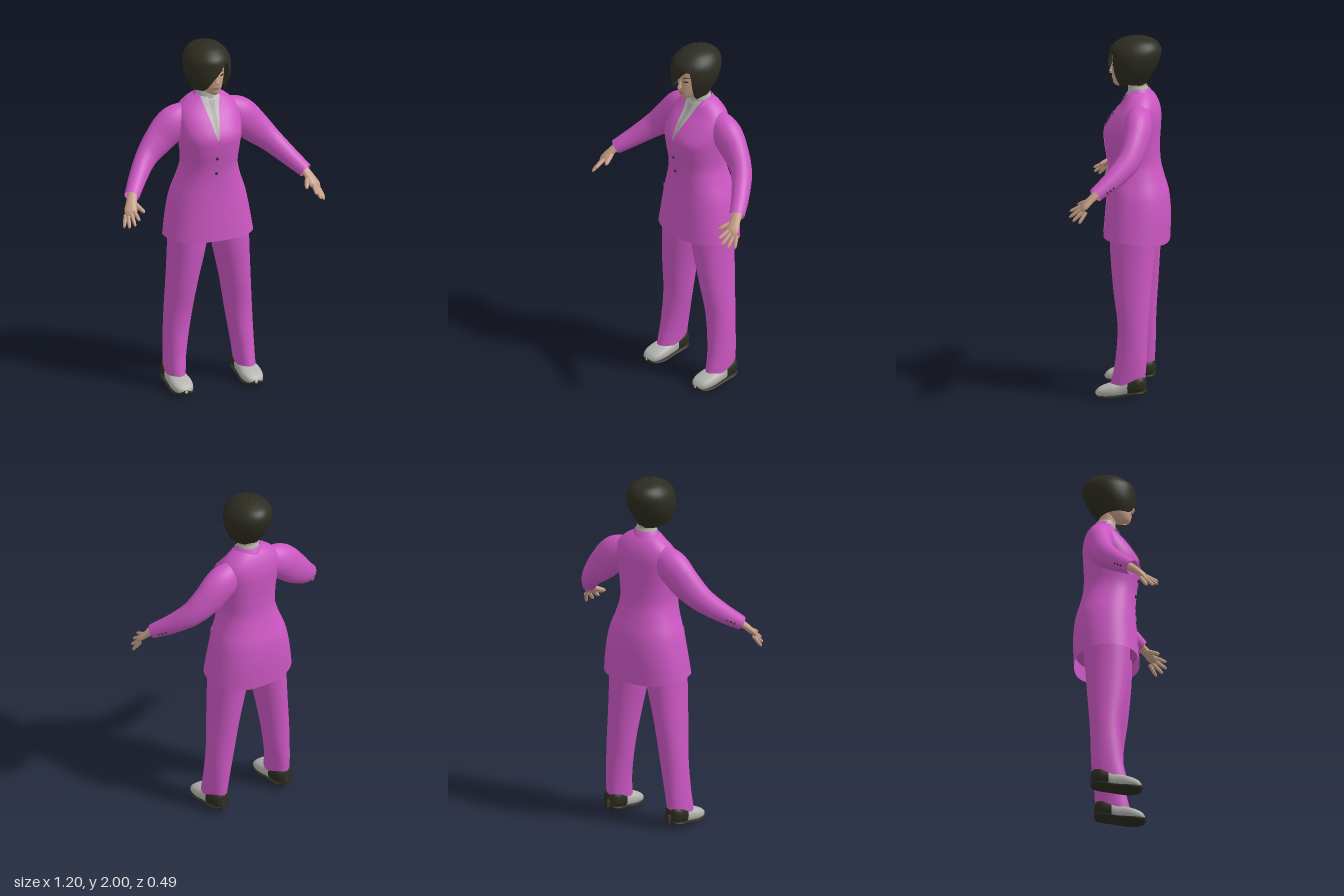
import * as THREE from 'three';

const material = (name, color) => {
  const m = new THREE.MeshStandardMaterial({ color, side: THREE.DoubleSide });
  m.name = name;
  return m;
};
const lerp = THREE.MathUtils.lerp;
const spow = (v, p) => Math.sign(v) * Math.pow(Math.abs(v), p);

// Smoothly interpolates rows of numbers keyed by their first column
function at(rows, s) {
  let i = 0;
  while (i < rows.length - 2 && s > rows[i + 1][0]) i++;
  const slope = (k, c) => {
    const a = rows[Math.max(k - 1, 0)], b = rows[Math.min(k + 1, rows.length - 1)];
    return (b[c] - a[c]) / (b[0] - a[0]);
  };
  const A = rows[i], B = rows[i + 1], h = B[0] - A[0];
  const t = Math.min(Math.max((s - A[0]) / h, 0), 1), t2 = t * t, t3 = t2 * t;
  return A.map((_, c) => (2 * t3 - 3 * t2 + 1) * A[c] + (t3 - 2 * t2 + t) * h * slope(i, c)
    + (3 * t2 - 2 * t3) * B[c] + (t3 - t2) * h * slope(i + 1, c));
}

// Grid surface from fn(u, v) -> [x, y, z]; u may wrap round
function surface(name, mat, fn, nu, nv, closed) {
  const pos = [], index = [], cols = closed ? nu : nu + 1;
  for (let j = 0; j <= nv; j++)
    for (let i = 0; i < cols; i++) pos.push(...fn(i / nu, j / nv));
  for (let j = 0; j < nv; j++)
    for (let i = 0; i < nu; i++) {
      const a = j * cols + i, c = j * cols + (i + 1) % cols;
      index.push(a, a + cols, c, c, a + cols, c + cols);
    }
  const g = new THREE.BufferGeometry();
  g.setAttribute('position', new THREE.Float32BufferAttribute(pos, 3));
  g.setIndex(index);
  g.computeVertexNormals();
  const m = new THREE.Mesh(g, mat);
  m.name = name;
  return m;
}

// Upright loft; rows are [y, centre x, half width, front z, back z]
function ringPoint(rows, y, a, p) {
  const [, cx, hw, zf, zb] = at(rows, y);
  return [cx + hw * spow(Math.cos(a), p), y, (zf + zb) / 2 + (zf - zb) / 2 * spow(Math.sin(a), p)];
}
function loft(name, mat, rows, p = 1, nv = 40) {
  const y0 = rows[0][0], y1 = rows[rows.length - 1][0];
  return surface(name, mat, (u, v) => ringPoint(rows, lerp(y0, y1, v), u * Math.PI * 2, p), 48, nv, true);
}

// Thin plate lying on the front of a loft, between left(v) and right(v)
function plate(name, mat, rows, p, y0, y1, left, right, off) {
  return surface(name, mat, (u, v) => {
    const y = lerp(y0, y1, v), x = lerp(left(v), right(v), u);
    const [, cx, hw, zf, zb] = at(rows, y);
    const k = Math.pow(Math.max(0, 1 - Math.pow(Math.abs((x - cx) / hw), 2 / p)), p / 2);
    return [x, y, (zf + zb) / 2 + (zf - zb) / 2 * k + off];
  }, 10, 20, false);
}

// Point on a limb; rows are [t, x, y, z, horizontal radius, other radius]
function limbPoint(rows, t, a) {
  const r = at(rows, t), q = at(rows, Math.min(t + 0.01, 1)), o = at(rows, Math.max(t - 0.01, 0));
  const T = new THREE.Vector3(q[1] - o[1], q[2] - o[2], q[3] - o[3]).normalize();
  const U = new THREE.Vector3(0, 1, 0).cross(T).negate().normalize();
  const V = U.clone().cross(T);
  return new THREE.Vector3(r[1], r[2], r[3])
    .addScaledVector(U, r[4] * Math.cos(a)).addScaledVector(V, r[5] * Math.sin(a)).toArray();
}
const limb = (name, mat, rows, nu = 28, nv = 36) =>
  surface(name, mat, (u, v) => limbPoint(rows, v, u * Math.PI * 2), nu, nv, true);

// Straight finger with a rounded tip
function finger(name, mat, a, b, r) {
  const row = (t, k) => [t, ...a.map((c, i) => lerp(c, b[i], t)), r * k, r * k];
  return limb(name, mat, [row(0, 1), row(0.5, 1), row(0.85, 0.8), row(0.96, 0.45), row(1, 0.02)], 10, 14);
}

// Shoe loft along z; rows are [z, half width, bottom y, top y]
function shoePart(name, mat, rows, z0, z1, cx) {
  return surface(name, mat, (u, v) => {
    const z = lerp(z0, z1, v), a = u * Math.PI * 2, [, hw, yb, yt] = at(rows, z);
    return [cx + hw * spow(Math.cos(a), 0.8), (yb + yt) / 2 - (yt - yb) / 2 * spow(Math.sin(a), 0.8), z];
  }, 28, 28, true);
}

export function createModel() {
  const suit = material('suit pink', 0xcc57c3), skin = material('skin', 0xc8a088);
  const dark = material('hair black', 0x2c2c21), shirtGrey = material('shirt grey', 0xb4b4b0);
  const tieGrey = material('tie grey', 0xa2a29e), lip = material('lip', 0xa8766a);
  const model = new THREE.Group();
  model.name = 'suitedFigure';
  const add = (...m) => model.add(...m);

  // Jacket body, with a hem that dips at the back
  const P = 0.86;
  const torso = [
    [0.88, 0, 0.254, 0.12, -0.24], [1.0, 0, 0.235, 0.11, -0.245], [1.12, 0, 0.21, 0.1, -0.235],
    [1.22, 0, 0.175, 0.096, -0.208], [1.3, 0, 0.157, 0.1, -0.19], [1.4, 0, 0.166, 0.115, -0.186],
    [1.48, 0, 0.177, 0.117, -0.19], [1.56, 0, 0.18, 0.07, -0.192], [1.62, 0, 0.165, 0.02, -0.18],
    [1.67, 0, 0.115, -0.012, -0.155], [1.7, 0, 0.062, -0.03, -0.128]];
  add(surface('jacketBody', suit, (u, v) => {
    const a = u * Math.PI * 2, q = ringPoint(torso, lerp(0.88, 1.7, v), a, P);
    q[1] -= Math.max(0, -Math.sin(a)) * 0.03 * Math.max(0, 1 - v * 6);
    return q;
  }, 64, 60, true));
  add(loft('jacketLining', suit, [[0.9, 0, 0.01, -0.05, -0.07], [0.94, 0, 0.235, 0.105, -0.235]], P, 4));

  // Shirt front, tie, lapels and placket
  const edge = (s, v) => lerp(-0.012, s * 0.056, v);
  const vee = (name, mat, left, right, off, y0 = 1.465, y1 = 1.69) =>
    add(plate(name, mat, torso, P, y0, y1, left, right, off));
  vee('shirtFront', shirtGrey, v => edge(1, v), v => edge(-1, v), 0.004);
  vee('tie', tieGrey, v => lerp(0.0, 0.014, v), v => lerp(-0.016, -0.014, v), 0.008, 1.48, 1.64);
  vee('tieKnot', tieGrey, v => lerp(0.012, 0.02, v), v => lerp(-0.012, -0.02, v), 0.012, 1.63, 1.67);
  const lapelWidth = v => (v < 0.75 ? 0.06 * v : 0.03);
  vee('leftLapel', suit, v => edge(1, v) + lapelWidth(v), v => edge(1, v), 0.008);
  vee('rightLapel', suit, v => edge(-1, v), v => edge(-1, v) - lapelWidth(v), 0.008);
  vee('placket', suit, () => 0.02, v => lerp(-0.038, -0.014, v), 0.004, 0.885, 1.465);

  // Pocket flaps, breast pocket and folded square
  for (const s of [1, -1])
    vee('pocketFlap', suit, () => s * 0.11 + 0.06, () => s * 0.11 - 0.06, 0.007, 1.1, 1.13);
  vee('breastPocket', suit, () => 0.155, () => 0.06, 0.005, 1.475, 1.498);
  vee('pocketSquare', suit, v => 0.15 - 0.04 * v, v => 0.062 + 0.03 * v, 0.009, 1.495, 1.522);

  // Front buttons
  const button = (name, p, r) => {
    const b = new THREE.Mesh(new THREE.SphereGeometry(r, 12, 8), dark);
    b.name = name;
    b.position.set(...p);
    return b;
  };
  for (const y of [1.275, 1.365]) add(button('frontButton', [-0.012, y, at(torso, y)[3] + 0.003], 0.009));

  // Collars and neck
  const collar = [[1.65, 0, 0.1, 0.0, -0.158], [1.685, 0, 0.082, 0.0, -0.145], [1.71, 0, 0.068, 0.0, -0.13]];
  add(surface('jacketCollar', suit, (u, v) =>
    ringPoint(collar, lerp(1.65, 1.71, v), lerp(0.95, 2.05, u) * Math.PI, 1), 32, 8, false));
  add(loft('shirtCollar', shirtGrey, [[1.65, 0, 0.068, -0.01, -0.13], [1.7, 0, 0.062, -0.012, -0.125],
    [1.725, 0, 0.056, -0.018, -0.118]], 1, 8));
  for (const s of [1, -1])
    vee('collarPoint', shirtGrey, v => s * 0.033 + 0.02 * v, v => s * 0.033 - 0.02 * v, 0.014, 1.635, 1.69);
  add(loft('neck', skin, [[1.66, 0, 0.05, -0.015, -0.115], [1.73, 0, 0.048, -0.01, -0.11], [1.8, 0, 0.052, 0.0, -0.12]], 1, 10));

  // Head and face
  const head = [[1.718, 0, 0.008, 0.05, 0.03], [1.727, 0, 0.028, 0.066, -0.01], [1.75, 0, 0.047, 0.073, -0.06],
    [1.79, 0, 0.064, 0.077, -0.12], [1.85, 0, 0.076, 0.076, -0.15], [1.91, 0, 0.076, 0.07, -0.15],
    [1.96, 0, 0.04, 0.02, -0.1]];
  add(loft('head', skin, head));
  add(limb('nose', skin, [[0, 0, 1.845, 0.07, 0.006, 0.006], [0.6, 0, 1.81, 0.08, 0.01, 0.01],
    [0.9, 0, 1.793, 0.084, 0.014, 0.01], [1, 0, 1.786, 0.08, 0.002, 0.002]], 14, 14));
  const face = (name, mat, x, w, y, h) =>
    add(plate(name, mat, head, 1, y - h, y + h, v => x + w * Math.sin(Math.PI * v), v => x - w * Math.sin(Math.PI * v), 0.003));
  face('lips', lip, 0, 0.024, 1.763, 0.009);
  for (const s of [1, -1]) {
    face('eye', dark, s * 0.034, 0.013, 1.838, 0.005);
    face('eyebrow', dark, s * 0.036, 0.018, 1.86, 0.003);
  }

  // Bobbed hair: a shell whose lower edge sweeps diagonally over the face
  const hair = [[1.7, -0.012, 0.075, 0.062, -0.09], [1.76, -0.012, 0.102, 0.086, -0.128],
    [1.82, -0.012, 0.126, 0.098, -0.165], [1.88, -0.012, 0.133, 0.098, -0.188], [1.93, -0.012, 0.122, 0.088, -0.193],
    [1.97, -0.012, 0.09, 0.045, -0.165], [1.99, -0.012, 0.052, 0.0, -0.115], [2.0, -0.012, 0.004, -0.05, -0.065]];
  const hairEdge = [[0, 1.74], [27, 1.735], [42, 1.8], [54, 1.905], [90, 1.835], [120, 1.765],
    [150, 1.755], [180, 1.75], [270, 1.725], [360, 1.74]];
  add(surface('hair', dark, (u, v) =>
    ringPoint(hair, lerp(at(hairEdge, u * 360)[1], 2, 1 - Math.pow(1 - v, 1.5)), u * Math.PI * 2, 1), 96, 40, true));

  // Paired parts
  const arm = [[0, 0.1, 1.575, -0.09, 0.06, 0.075], [0.2, 0.19, 1.53, -0.09, 0.078, 0.098],
    [0.42, 0.28, 1.445, -0.085, 0.068, 0.09], [0.62, 0.365, 1.365, -0.055, 0.058, 0.07],
    [0.82, 0.445, 1.285, 0.02, 0.05, 0.054], [1, 0.515, 1.215, 0.105, 0.042, 0.04]];
  const leg = [[0.08, 0.207, 0.054, 0.06, -0.13], [0.2, 0.2, 0.061, 0.036, -0.138], [0.4, 0.18, 0.075, 0.024, -0.145],
    [0.6, 0.157, 0.085, 0.05, -0.16], [0.8, 0.13, 0.102, 0.07, -0.175], [0.95, 0.115, 0.115, 0.075, -0.19]];
  const shoe = [[-0.14, 0.012, 0.045, 0.09], [-0.13, 0.036, 0.038, 0.125], [-0.1, 0.056, 0.035, 0.135],
    [-0.05, 0.058, 0.026, 0.125], [0, 0.057, 0.016, 0.1], [0.06, 0.062, 0.009, 0.085],
    [0.11, 0.054, 0.008, 0.066], [0.135, 0.036, 0.012, 0.048], [0.146, 0.005, 0.022, 0.03]];
  const sole = shoe.map(([z, hw, yb]) => [z, hw + 0.003, yb - 0.008, yb + 0.016]);
  const fingers = [[[0.53, 1.155, 0.18], [0.525, 1.122, 0.247]], [[0.545, 1.145, 0.175], [0.55, 1.093, 0.247]],
    [[0.56, 1.135, 0.165], [0.576, 1.076, 0.225]], [[0.569, 1.132, 0.15], [0.594, 1.068, 0.188]]];

  for (const s of [1, -1]) {
    const side = new THREE.Group();
    side.name = s > 0 ? 'leftLimbs' : 'rightLimbs';
    side.scale.x = s;
    side.add(limb('sleeve', suit, arm));
    for (const t of [0.87, 0.9, 0.93]) side.add(button('cuffButton', limbPoint(arm, t, Math.PI * 1.1), 0.006));
    side.add(limb('palm', skin, [[0, 0.505, 1.225, 0.09, 0.028, 0.024], [0.35, 0.527, 1.19, 0.13, 0.03, 0.019],
      [0.75, 0.545, 1.152, 0.165, 0.036, 0.016], [1, 0.553, 1.132, 0.182, 0.024, 0.005]], 20, 16));
    for (const [a, b] of fingers) side.add(finger('finger', skin, a, b, 0.0105));
    side.add(finger('thumb', skin, [0.512, 1.185, 0.135], [0.479, 1.15, 0.21], 0.013));
    side.add(loft('trouserLeg', suit, leg.map(([y, ...r]) => [y, ...r]), 0.95));
    side.add(shoePart('shoeHeel', dark, shoe, -0.14, -0.04, 0.207));
    side.add(shoePart('shoeUpper', shirtGrey, shoe, -0.04, 0.146, 0.207));
    side.add(shoePart('shoeSole', dark, sole, -0.14, 0.146, 0.207));
    add(side);
  }
  return model;
}
